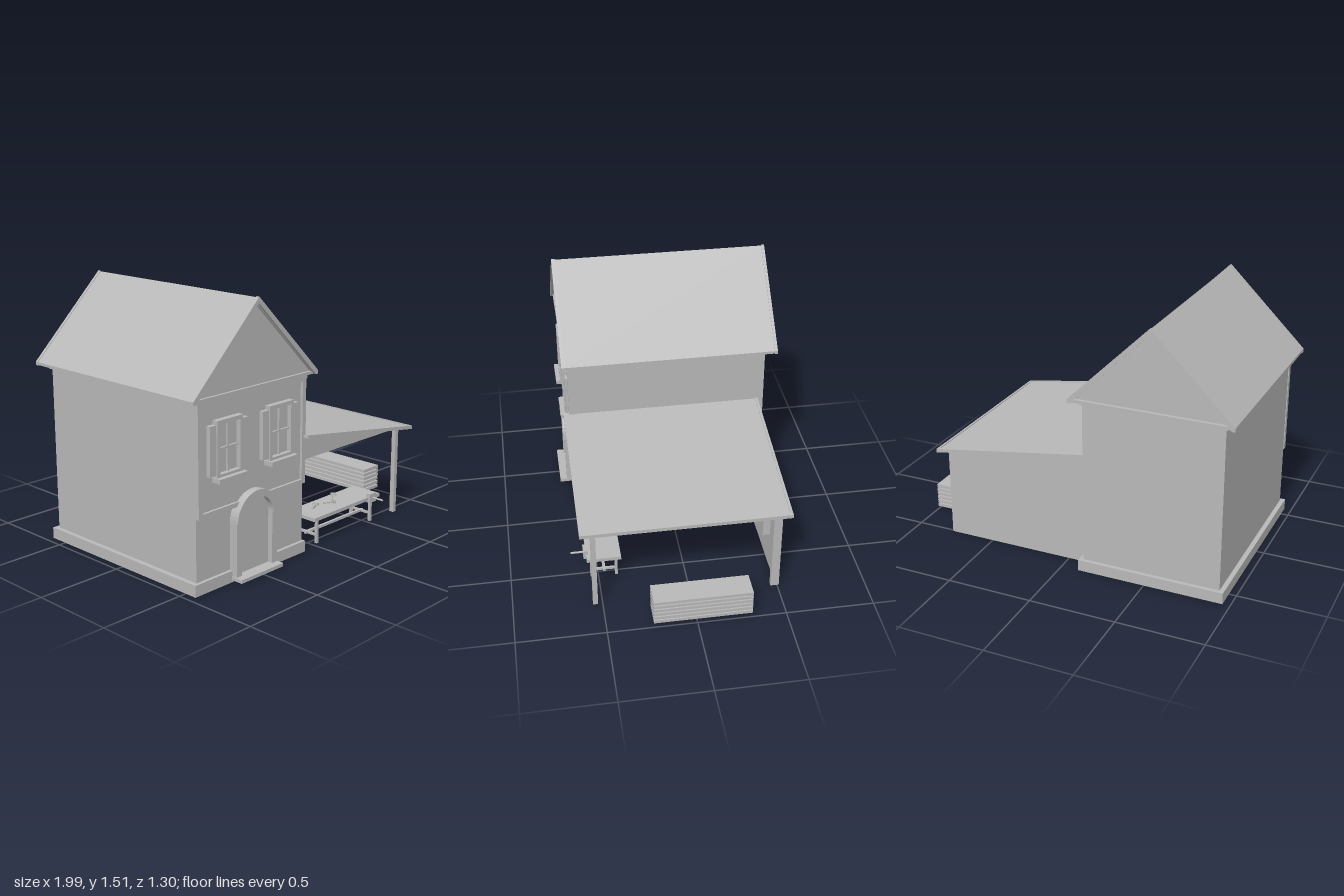
import * as THREE from 'three';

export function createModel() {
  const model = new THREE.Group();
  const grey = new THREE.MeshStandardMaterial({ color: 0xb8b8b8 });
  grey.name = 'plain grey';

  const add = (name, geometry, parent = model) => {
    const mesh = new THREE.Mesh(geometry, grey);
    mesh.name = name;
    parent.add(mesh);
    return mesh;
  };
  // Box given by its limits on each axis
  const box = (name, x0, x1, y0, y1, z0, z1, parent) => {
    const g = new THREE.BoxGeometry(x1 - x0, y1 - y0, z1 - z0);
    g.translate((x0 + x1) / 2, (y0 + y1) / 2, (z0 + z1) / 2);
    return add(name, g, parent);
  };
  // Outline in the xy plane, extruded between two z values
  const prism = (name, points, z0, z1, parent) => {
    const shape = points instanceof THREE.Shape ? points
      : new THREE.Shape(points.map(p => new THREE.Vector2(...p)));
    const g = new THREE.ExtrudeGeometry(shape, { depth: z1 - z0, bevelEnabled: false, curveSegments: 12 });
    g.translate(0, 0, z0);
    return add(name, g, parent);
  };
  const group = name => {
    const g = new THREE.Group();
    g.name = name;
    model.add(g);
    return g;
  };

  // House body
  const house = group('house');
  box('plinth', -0.957, -0.104, 0, 0.065, -0.61, 0.574, house);
  box('walls', -0.93, -0.125, 0.06, 1.02, -0.586, 0.554, house);
  box('cornice', -0.943, -0.115, 1.008, 1.03, -0.6, 0.585, house);
  box('eavesSlab', -0.98, -0.08, 1.03, 1.047, -0.635, 0.6, house);

  // Raised frame around the upper front
  box('frameTop', -0.935, -0.122, 0.995, 1.015, 0.55, 0.582, house);
  box('frameBottom', -0.935, -0.122, 0.415, 0.44, 0.55, 0.582, house);
  for (const x of [-0.935, -0.15]) box('frameSide', x, x + 0.028, 0.44, 0.995, 0.55, 0.582, house);
  box('upperPanel', -0.907, -0.15, 0.44, 0.995, 0.55, 0.567, house);

  // Main roof
  const ridge = -0.53;
  const roof = group('roof');
  const chevron = (top, half, drop) => {
    const eave = top - half * 0.985;
    return [[ridge, top], [ridge - half, eave], [ridge - half, eave - drop],
      [ridge - half + 0.018, eave - drop], [ridge, top - 0.034],
      [ridge + half - 0.018, eave - drop], [ridge + half, eave - drop], [ridge + half, eave]];
  };
  prism('roofPanels', chevron(1.503, 0.463, 0.016), -0.632, 0.597, roof);
  prism('bargeBoard', chevron(1.508, 0.466, 0.02), 0.594, 0.615, roof);
  prism('bargeBoard', chevron(1.508, 0.466, 0.02), -0.647, -0.63, roof);
  prism('gable', [[-0.965, 1.045], [-0.095, 1.045], [ridge, 1.48]], -0.615, 0.585, roof);

  // Windows with shutters
  for (const x of [-0.725, -0.336]) {
    const w = group('window');
    const outer = new THREE.Shape([[-0.093, 0.615], [0.093, 0.615], [0.093, 0.915], [-0.093, 0.915]]
      .map(p => new THREE.Vector2(...p)));
    outer.holes.push(new THREE.Path([[-0.073, 0.63], [-0.073, 0.893], [0.073, 0.893], [0.073, 0.63]]
      .map(p => new THREE.Vector2(...p))));
    prism('windowFrame', outer, 0.56, 0.6, w);
    box('windowPane', -0.075, 0.075, 0.62, 0.9, 0.56, 0.573, w);
    box('mullion', -0.005, 0.005, 0.62, 0.9, 0.57, 0.585, w);
    box('crossBar', -0.075, 0.075, 0.755, 0.765, 0.57, 0.585, w);
    box('sill', -0.102, 0.102, 0.59, 0.615, 0.56, 0.626, w);
    for (const s of [-1, 1]) {
      const a = s * 0.093, b = s * 0.138;
      box('shutter', Math.min(a, b), Math.max(a, b), 0.627, 0.893, 0.565, 0.592, w);
    }
    w.position.x = x;
  }

  // Arched doorway
  const door = group('doorway');
  const arch = new THREE.Shape();
  arch.absarc(ridge, 0.33, 0.155, 0, Math.PI, false);
  arch.absarc(ridge, 0.33, 0.117, Math.PI, 0, true);
  prism('arch', arch, 0.55, 0.613, door);
  for (const x of [-0.685, -0.413]) box('doorPost', x, x + 0.038, 0.03, 0.33, 0.55, 0.606, door);
  const leaf = new THREE.Shape();
  leaf.moveTo(ridge - 0.12, 0.03);
  leaf.lineTo(ridge + 0.12, 0.03);
  leaf.absarc(ridge, 0.33, 0.12, 0, Math.PI, false);
  prism('doorLeaf', leaf, 0.55, 0.576, door);
  box('doorStep', -0.692, -0.37, 0.014, 0.034, 0.56, 0.648, door);

  // Open lean-to on the left side
  const leanTo = group('leanTo');
  const slope = (x0, x1, top, thick) => {
    const y = x => top - (x + 0.14) * 0.1535;
    return [[x0, y(x0) - thick], [x1, y(x1) - thick], [x1, y(x1)], [x0, y(x0)]];
  };
  prism('leanToRoof', slope(-0.14, 0.815, 0.692, 0.014), -0.545, 0.605, leanTo);
  for (const z of [-0.553, 0.6]) prism('roofTrim', slope(-0.14, 0.825, 0.697, 0.021), z, z + 0.015, leanTo);
  prism('eaveTrim', slope(0.81, 0.825, 0.697, 0.021), -0.545, 0.605, leanTo);
  box('backWall', -0.125, 0.77, 0, 0.536, -0.51, -0.49, leanTo);
  for (const z of [-0.51, 0.535]) {
    prism('sideGable', [[-0.125, 0.536], [0.77, 0.536], [0.77, 0.543], [-0.125, 0.68]], z, z + 0.02, leanTo);
  }
  for (const z of [-0.49, 0.526]) {
    box('post', 0.744, 0.77, 0, 0.54, z, z + 0.028, leanTo);
    box('wallPost', -0.13, -0.112, 0, 0.536, z, z + 0.028, leanTo);
  }

  // Tool board on the back wall
  const board = group('toolBoard');
  box('board', 0.013, 0.584, 0.222, 0.43, -0.49, -0.448, board);
  for (const x of [0.088, 0.216, 0.348, 0.477]) {
    box('toolHandle', x - 0.003, x + 0.004, 0.245, 0.4, -0.45, -0.438, board);
    box('toolHead', x - 0.006, x + 0.008, 0.39, 0.415, -0.45, -0.432, board);
  }

  // Workbench
  const bench = group('workbench');
  box('benchTop', -0.013, 0.584, 0.147, 0.168, 0.37, 0.566, bench);
  for (const x of [0.03, 0.523]) {
    for (const z of [0.388, 0.53]) box('benchLeg', x, x + 0.016, 0, 0.15, z, z + 0.016, bench);
    box('benchSideRail', x + 0.002, x + 0.014, 0.042, 0.056, 0.39, 0.544, bench);
  }
  box('benchLongRail', 0.02, 0.548, 0.042, 0.056, 0.458, 0.474, bench);
  box('benchApron', 0.046, 0.523, 0.132, 0.147, 0.39, 0.4, bench);
  box('viseJaw', 0.472, 0.535, 0.136, 0.19, 0.555, 0.581, bench);
  const screw = add('viseScrew', new THREE.CylinderGeometry(0.006, 0.006, 0.08, 10), bench);
  screw.rotation.x = Math.PI / 2;
  screw.position.set(0.504, 0.163, 0.612);
  [[0.13, 0.44, 0.4], [0.24, 0.46, -0.5], [0.33, 0.42, 0.7]].forEach(([x, z, turn]) => {
    const tool = new THREE.Group();
    tool.name = 'benchTool';
    box('handle', -0.035, 0.035, 0, 0.009, -0.005, 0.005, tool);
    box('head', 0.022, 0.037, 0, 0.018, -0.018, 0.018, tool);
    tool.position.set(x, 0.168, z);
    tool.rotation.y = turn;
    bench.add(tool);
  });

  // Stack of boards
  const stack = group('plankStack');
  for (let i = 0; i < 6; i++) {
    const y = 0.024 + i * 0.026;
    box('plank', 0.85, 0.995, y, y + 0.019, -0.31, 0.242, stack);
  }
  return model;
}
